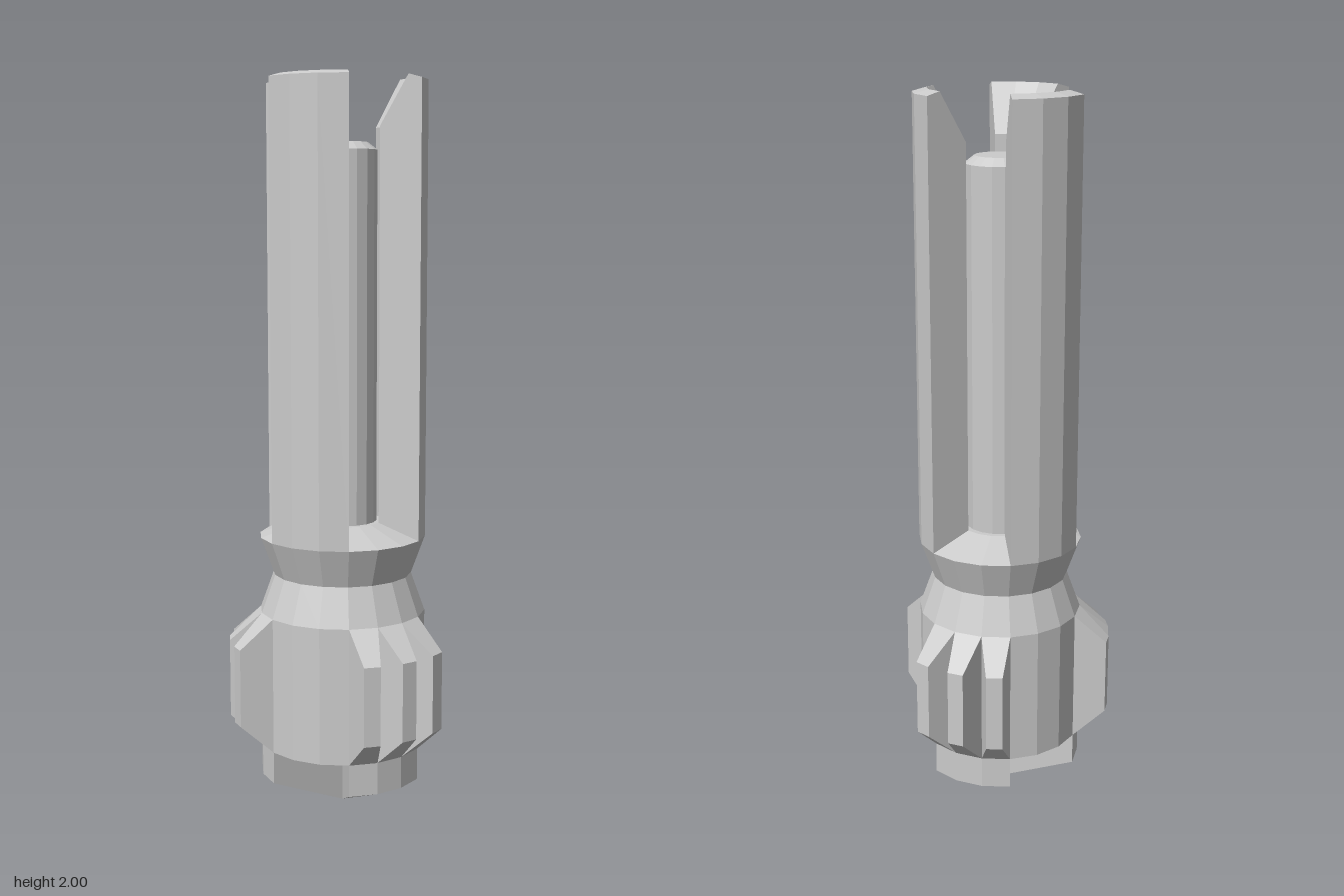
import * as THREE from 'three';
import { mergeGeometries } from 'three/addons/utils/BufferGeometryUtils.js';

const R = 0.228;          // main radius, 18 facets around
const STEP = Math.PI / 9; // one facet
const rad = THREE.MathUtils.degToRad;
const material = new THREE.MeshStandardMaterial({ color: 0xcccccc, flatShading: true });

const toPoints = (profile) => profile.map(([r, y]) => new THREE.Vector2(r, y));

function mesh(name, geometry) {
  const flat = geometry.index ? geometry.toNonIndexed() : geometry;
  flat.computeVertexNormals();
  const m = new THREE.Mesh(flat, material);
  m.name = name;
  return m;
}

// Full turned part; facet corners fall on the x axis
function turned(name, profile) {
  return mesh(name, new THREE.LatheGeometry(toPoints(profile), 18, Math.PI / 2));
}

// 60 degree slice of a closed profile (counter-clockwise), with both cut faces
function sector(name, profile, startDeg) {
  const points = toPoints(profile);
  const start = rad(startDeg);
  const skin = new THREE.LatheGeometry([...points, points[0]], 3, start + Math.PI / 2, Math.PI / 3);
  const capA = new THREE.ShapeGeometry(new THREE.Shape(points));
  const capB = capA.clone();
  capB.index.array.reverse(); // faces the other way
  capA.rotateY(start);
  capB.rotateY(start + Math.PI / 3);
  return mesh(name, mergeGeometries([skin, capA, capB]));
}

// Tapered tooth sitting on one facet
function tooth(angleDeg) {
  const g = new THREE.BoxGeometry(1, 1, 1);
  const p = g.attributes.position;
  const rootR = R * Math.cos(STEP / 2);
  const rootHalf = R * Math.sin(STEP / 2);
  for (let i = 0; i < p.count; i++) {
    const outer = p.getX(i) > 0;
    const top = p.getY(i) > 0;
    const y = outer ? (top ? 0.48 : 0.265) : (top ? 0.56 : 0.185);
    p.setXYZ(i, outer ? 0.313 : rootR, y, Math.sign(p.getZ(i)) * (outer ? 0.0225 : rootHalf));
  }
  g.rotateY(rad(angleDeg));
  return mesh('tooth', g);
}

export function createModel() {
  const model = new THREE.Group();
  model.name = 'slottedShaft';

  // Base body with waist and sloping collar top
  model.add(turned('body', [
    [0, 0.185], [R, 0.185], [R, 0.56], [0.19, 0.665], [R, 0.77], [0.11, 0.81], [0, 0.81],
  ]));

  // Central pin with chamfered tip
  model.add(turned('centrePin', [
    [0.094, 0.81], [0.094, 1.81], [0.068, 1.83], [0, 1.83],
  ]));

  // Three-fold blades, foot lobes and tooth groups
  const blade = [[0.11, 0.77], [R, 0.77], [R, 1.99], [0.19, 2], [0.11, 1.87]];
  const lobe = [[0, 0], [R, 0.097], [R, 0.185], [0, 0.185]];
  for (let i = 0; i < 3; i++) {
    const a = i * 120;
    model.add(sector('blade', blade, a));
    model.add(sector('footLobe', lobe, a + 60));

    const teeth = new THREE.Group();
    teeth.name = 'toothGroup';
    for (const offset of [70, 90, 110]) teeth.add(tooth(a + offset));
    model.add(teeth);
  }

  // The turning axis lies slightly forward of the centre
  for (const part of model.children) part.position.z = 0.028;
  return model;
}
